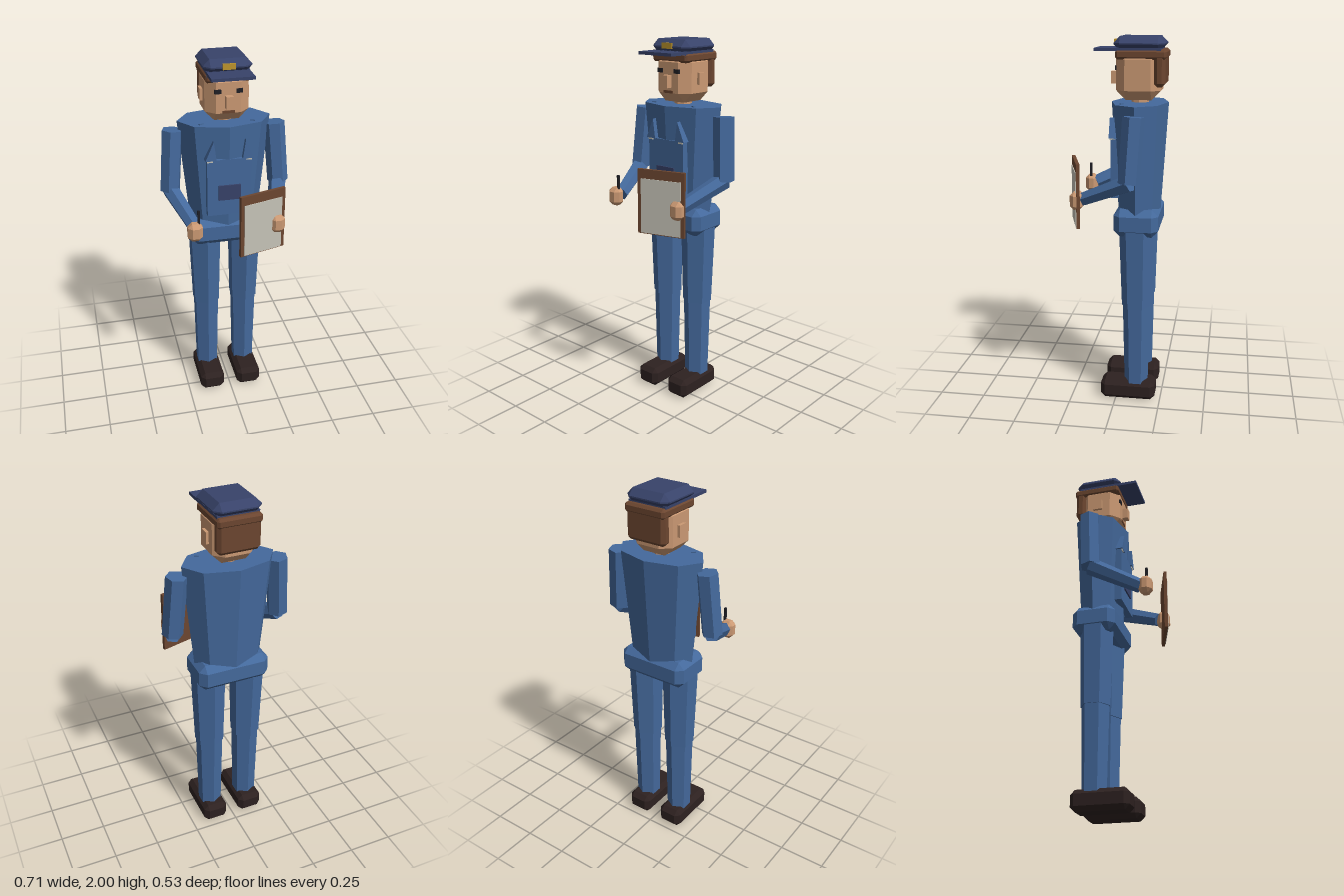
import * as THREE from 'three';
import { ConvexGeometry } from 'three/addons/geometries/ConvexGeometry.js';

const mat = (name, color, extra = {}) => {
  const m = new THREE.MeshStandardMaterial({ color, flatShading: true, ...extra });
  m.name = name;
  return m;
};

export function createModel() {
  const denim = mat('denimBlue', 0x44699c);
  const navy = mat('navy', 0x38436a);
  const skin = mat('skin', 0xcb9973);
  const brown = mat('brown', 0x6c4630);
  const leather = mat('darkLeather', 0x2d2120);
  const paperMat = mat('paper', 0xc6c3b7);
  const gold = mat('gold', 0xbf962c);
  const black = mat('black', 0x1f1f25);

  const group = new THREE.Group();
  const add = (name, geo, material, x = 0, y = 0, z = 0, parent = group) => {
    const m = new THREE.Mesh(geo, material);
    m.name = name;
    m.position.set(x, y, z);
    parent.add(m);
    return m;
  };
  const box = (w, h, d) => new THREE.BoxGeometry(w, h, d);

  // Box with every edge and corner cut off
  const chamfer = (w, h, d, c) => {
    const pts = [], a = w / 2, b = h / 2, e = d / 2;
    for (const i of [-1, 1]) for (const j of [-1, 1]) for (const k of [-1, 1]) {
      pts.push(
        new THREE.Vector3(i * a, j * (b - c), k * (e - c)),
        new THREE.Vector3(i * (a - c), j * b, k * (e - c)),
        new THREE.Vector3(i * (a - c), j * (b - c), k * e));
    }
    return new ConvexGeometry(pts);
  };

  // Six-sided tapered limb between two points
  const limb = (name, from, to, r0, r1, twist = 0) => {
    const a = new THREE.Vector3(...from), b = new THREE.Vector3(...to);
    const dir = b.clone().sub(a);
    const geo = new THREE.CylinderGeometry(r1, r0, dir.length(), 6).rotateY(twist);
    const mid = a.add(b).multiplyScalar(0.5);
    const m = add(name, geo, denim, mid.x, mid.y, mid.z);
    m.quaternion.setFromUnitVectors(new THREE.Vector3(0, 1, 0), dir.normalize());
  };

  // Torso and hips
  const torso = new THREE.CylinderGeometry(0.25, 0.188, 0.61, 8).scale(1, 1, 0.61);
  add('torso', torso, denim, 0, 1.355, -0.11);
  add('hips', chamfer(0.4, 0.15, 0.24, 0.035), denim, 0, 1.035, -0.11);

  // Overall bib and pocket
  add('bib', box(0.24, 0.32, 0.04), denim, 0, 1.32, 0.012);
  add('bibPocket', box(0.12, 0.085, 0.03), navy, 0, 1.292, 0.025);

  for (const s of [-1, 1]) {
    // Legs and shoes
    limb('thigh', [s * 0.111, 0.55, -0.11], [s * 0.114, 1.0, -0.108], 0.081, 0.095);
    limb('shin', [s * 0.111, 0.09, -0.111], [s * 0.111, 0.57, -0.11], 0.066, 0.076);
    add('shoe', chamfer(0.14, 0.11, 0.305, 0.025), leather, s * 0.11, 0.055, -0.068);

    // Arms and hands
    limb('upperArm', [s * 0.3, 1.28, -0.09], [s * 0.275, 1.615, -0.11], 0.056, 0.057, s * 0.3);
    limb('forearm', [s * 0.3, 1.285, -0.095], [s * 0.212, 1.17, 0.165], 0.048, 0.038, s * 0.3);
    add('hand', chamfer(0.078, 0.1, 0.07, 0.022), skin, s * 0.22, 1.165, 0.194);

    // Strap end, buckle and strap tip on the shoulder
    const flap = new THREE.Shape([[0.07, 0], [0.13, 0], [0.085, 0.105]]
      .map(([x, y]) => new THREE.Vector2(s * x, y)));
    add('strap', new THREE.ExtrudeGeometry(flap, { depth: 0.06, bevelEnabled: false }), denim, 0, 1.48, -0.02);
    add('buckle', box(0.03, 0.012, 0.05), paperMat, s * 0.105, 1.477, 0.012);
    const tip = add('strapTip', box(0.024, 0.012, 0.01), denim, s * 0.137, 1.66, -0.03);
    tip.rotation.y = s * -0.45;

    // Ears and eyes
    add('ear', box(0.03, 0.062, 0.052), skin, s * 0.115, 1.8, -0.112);
    add('eye', box(0.034, 0.022, 0.009), black, s * 0.056, 1.84, 0.01);
  }

  // Head
  add('neck', new THREE.CylinderGeometry(0.045, 0.048, 0.08, 8), skin, 0, 1.67, -0.11);
  add('head', chamfer(0.23, 0.26, 0.235, 0.05), skin, 0, 1.805, -0.108);
  add('nose', box(0.038, 0.065, 0.05), skin, 0, 1.787, 0.018);
  add('mouth', box(0.062, 0.014, 0.009), brown, 0, 1.732, 0.009);
  add('hairBand', chamfer(0.236, 0.05, 0.265, 0.012), brown, 0, 1.909, -0.123);
  add('backHair', chamfer(0.23, 0.18, 0.06, 0.018), brown, 0, 1.835, -0.22);

  // Cap
  add('capCrown', chamfer(0.252, 0.075, 0.264, 0.034), navy, 0, 1.9625, -0.113);
  add('capBand', box(0.222, 0.03, 0.232), navy, 0, 1.927, -0.11);
  add('capBrim', box(0.22, 0.016, 0.13), navy, 0, 1.933, 0.053);
  add('capBadge', box(0.066, 0.03, 0.009), gold, 0, 1.968, 0.021);

  // Clipboard with paper, held in the left hand
  const clipboard = new THREE.Group();
  clipboard.name = 'clipboard';
  clipboard.position.set(0.132, 1.192, 0.217);
  clipboard.rotation.y = 0.285;
  group.add(clipboard);
  add('board', box(0.264, 0.346, 0.018), brown, 0, 0, 0, clipboard);
  add('sheet', box(0.225, 0.292, 0.004), paperMat, 0, -0.022, 0.011, clipboard);

  // Pen in the right hand
  add('pen', box(0.012, 0.12, 0.012), black, -0.2, 1.223, 0.195);

  return group;
}
